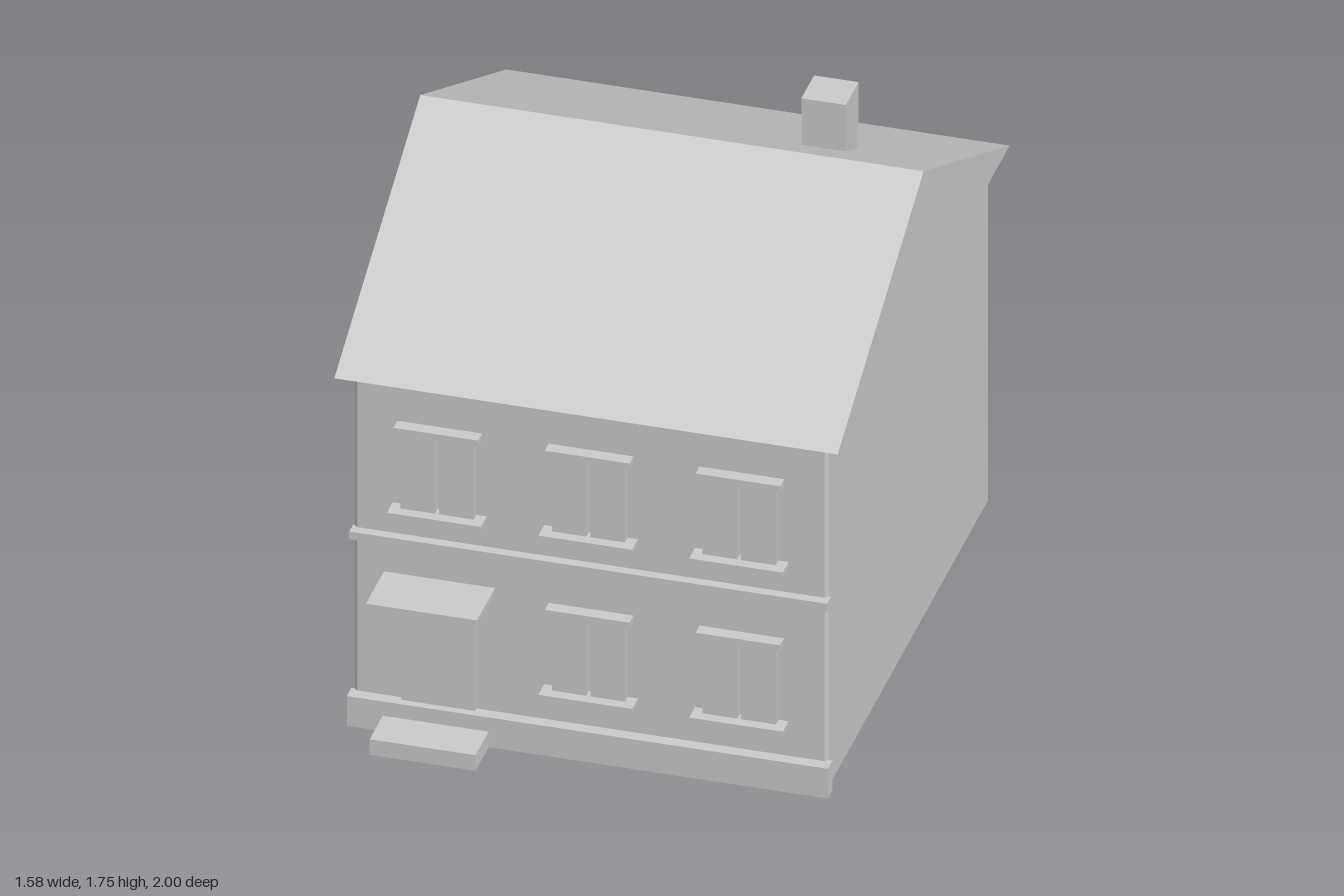
import * as THREE from 'three';
import { RoundedBoxGeometry } from 'three/addons/geometries/RoundedBoxGeometry.js';

export function createModel() {
  const house = new THREE.Group();
  house.name = 'house';
  const grey = new THREE.MeshStandardMaterial({ color: 0xcccccc, side: THREE.DoubleSide });
  grey.name = 'plainGrey';

  function add(name, geometry, parent = house) {
    const mesh = new THREE.Mesh(geometry, grey);
    mesh.name = name;
    parent.add(mesh);
    return mesh;
  }
  // Box given by its limits on each axis
  function box(name, x0, x1, y0, y1, z0, z1, parent) {
    const g = new THREE.BoxGeometry(x1 - x0, y1 - y0, z1 - z0);
    add(name, g, parent).position.set((x0 + x1) / 2, (y0 + y1) / 2, (z0 + z1) / 2);
  }

  // Main block with slightly softened edges
  const wallFront = 0.805, wallBack = -0.94;
  const walls = new RoundedBoxGeometry(1.485, 1.23, wallFront - wallBack, 3, 0.012);
  add('walls', walls).position.set(0, 0.615, (wallFront + wallBack) / 2);

  // Gabled roof shell: two slopes and two gables, open underneath
  const hw = 0.79, eaveY = 1.23, ridgeY = 1.685, front = 0.86, back = -1, ridgeZ = -0.07;
  const fl = [hw, eaveY, front], fr = [-hw, eaveY, front];
  const bl = [hw, eaveY, back], br = [-hw, eaveY, back];
  const rl = [hw, ridgeY, ridgeZ], rr = [-hw, ridgeY, ridgeZ];
  const roof = new THREE.BufferGeometry();
  roof.setAttribute('position', new THREE.Float32BufferAttribute([
    fr, fl, rl, fr, rl, rr, // front slope
    bl, br, rr, bl, rr, rl, // back slope
    fl, bl, rl, br, fr, rr, // gables
  ].flat(), 3));
  roof.computeVertexNormals();
  add('roof', roof);
  box('chimney', 0.35, 0.49, 1.33, 1.755, -0.4, -0.262);

  // Facade mouldings
  box('plinth', -0.755, 0.755, 0, 0.105, 0.795, 0.845);
  box('floorBand', -0.75, 0.75, 0.655, 0.682, 0.795, 0.837);

  // Entrance
  box('door', -0.59, -0.36, 0.1, 0.51, 0.795, 0.82);
  box('doorCanopy', -0.65, -0.302, 0.521, 0.54, 0.8, 1);
  box('doorStep', -0.642, -0.31, 0, 0.055, 0.84, 0.987);

  // Two-leaf window with lintel and sill
  function addWindow(x, y) {
    const w = new THREE.Group();
    w.name = 'window';
    w.position.set(x, y, 0);
    house.add(w);
    for (const s of [-1, 1]) {
      const a = s * 0.006, b = s * 0.115;
      box('windowLeaf', Math.min(a, b), Math.max(a, b), 0.015, 0.29, 0.795, 0.834, w);
    }
    box('windowLintel', -0.133, 0.133, 0.285, 0.309, 0.8, 0.848, w);
    box('windowSill', -0.147, 0.147, 0, 0.019, 0.8, 0.869, w);
  }
  for (const x of [-0.475, 0, 0.473]) {
    addWindow(x, 0.77);
    if (x > -0.1) addWindow(x, 0.208);
  }
  return house;
}
